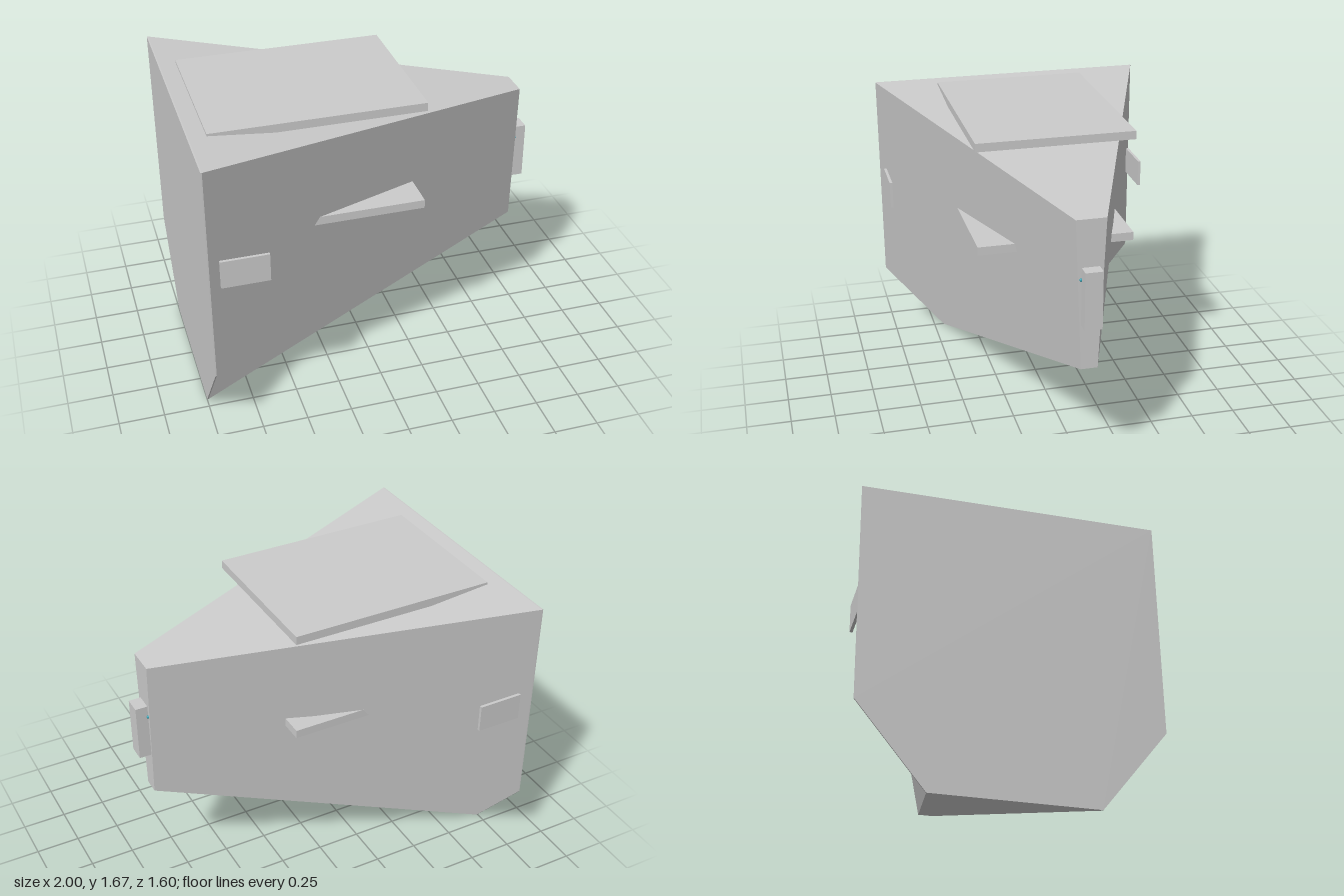
import * as THREE from 'three';

const grey = () => new THREE.MeshStandardMaterial({ color: 0xcccccc });

// Wedge body: corners of the +z half; the other half is mirrored.
const P = {
  topBack: [-0.993, 1.67, 0.8],
  midBack: [-0.993, 0.45, 0.8],
  lowBack: [-0.993, 0, 0.44],
  lowFront: [0.933, 0.65, 0.045],
  topFront: [0.933, 1.48, 0.08],
};

function buildHull() {
  const corners = (s) =>
    Object.fromEntries(Object.entries(P).map(([k, [x, y, z]]) => [k, new THREE.Vector3(x, y, z * s)]));
  const L = corners(1), R = corners(-1);
  const positions = [], normals = [];

  // Each panel shares one averaged normal over all its triangles.
  const panel = (...tris) => {
    const normal = new THREE.Vector3();
    for (const [a, b, c] of tris) {
      normal.add(b.clone().sub(a).cross(c.clone().sub(a)));
    }
    normal.normalize();
    for (const v of tris.flat()) {
      positions.push(v.x, v.y, v.z);
      normals.push(normal.x, normal.y, normal.z);
    }
  };
  const fan = (...c) => panel(...c.slice(2).map((v, i) => [c[0], c[i + 1], v]));

  // Sides: each folds along a different diagonal, with a flange at the back wall
  panel(
    [L.topFront, L.topBack, L.lowBack],
    [L.topBack, L.midBack, L.lowBack],
    [L.topFront, L.lowBack, L.lowFront],
  );
  panel(
    [R.topBack, R.topFront, R.lowFront],
    [R.topBack, R.lowFront, R.lowBack],
    [R.topBack, R.lowBack, R.midBack],
  );

  fan(L.topBack, L.topFront, R.topFront, R.topBack); // top
  fan(L.lowBack, R.lowBack, R.lowFront, L.lowFront); // underside
  fan(L.topFront, L.lowFront, R.lowFront, R.topFront); // nose

  // Back wall with its thin rim
  const rim = [L.topBack, R.topBack, R.midBack, R.lowBack, L.lowBack, L.midBack];
  const wall = rim.map((v) => new THREE.Vector3(-1, v.y, v.z));
  fan(...wall);
  rim.forEach((v, i) => {
    const j = (i + 1) % rim.length;
    fan(v, rim[j], wall[j], wall[i]);
  });

  const geo = new THREE.BufferGeometry();
  geo.setAttribute('position', new THREE.Float32BufferAttribute(positions, 3));
  geo.setAttribute('normal', new THREE.Float32BufferAttribute(normals, 3));
  return geo;
}

export function createModel() {
  const group = new THREE.Group();
  const add = (name, geo, material = grey()) => {
    const mesh = new THREE.Mesh(geo, material);
    mesh.name = name;
    group.add(mesh);
    return mesh;
  };
  // Box given by its lower and upper corners
  const box = (name, [x0, y0, z0], [x1, y1, z1]) =>
    add(name, new THREE.BoxGeometry(x1 - x0, y1 - y0, z1 - z0))
      .position.set((x0 + x1) / 2, (y0 + y1) / 2, (z0 + z1) / 2);

  add('hull', buildHull());

  box('roofPlate', [-0.9, 1.626, -0.44], [0.257, 1.673, 0.44]);
  // Slab through the hull, leaving a small fin on each side
  box('sideFins', [-0.9, 1.037, -0.44], [0.257, 1.085, 0.44]);
  box('noseBlock', [0.91, 0.903, -0.047], [1, 1.222, 0.047]);

  for (const [name, s] of [['left', 1], ['right', -1]]) {
    const z = 0.776 * s;
    box(name + 'SidePlate', [-0.935, 0.983, z - 0.008], [-0.68, 1.14, z + 0.008]);

    // Tiny lamp beside the nose block
    const lamp = new THREE.MeshStandardMaterial({ color: 0x2a9db0 });
    add(name + 'NoseLamp', new THREE.SphereGeometry(0.009, 12, 8), lamp)
      .position.set(0.934, 1.157, 0.05 * s);
  }
  return group;
}
